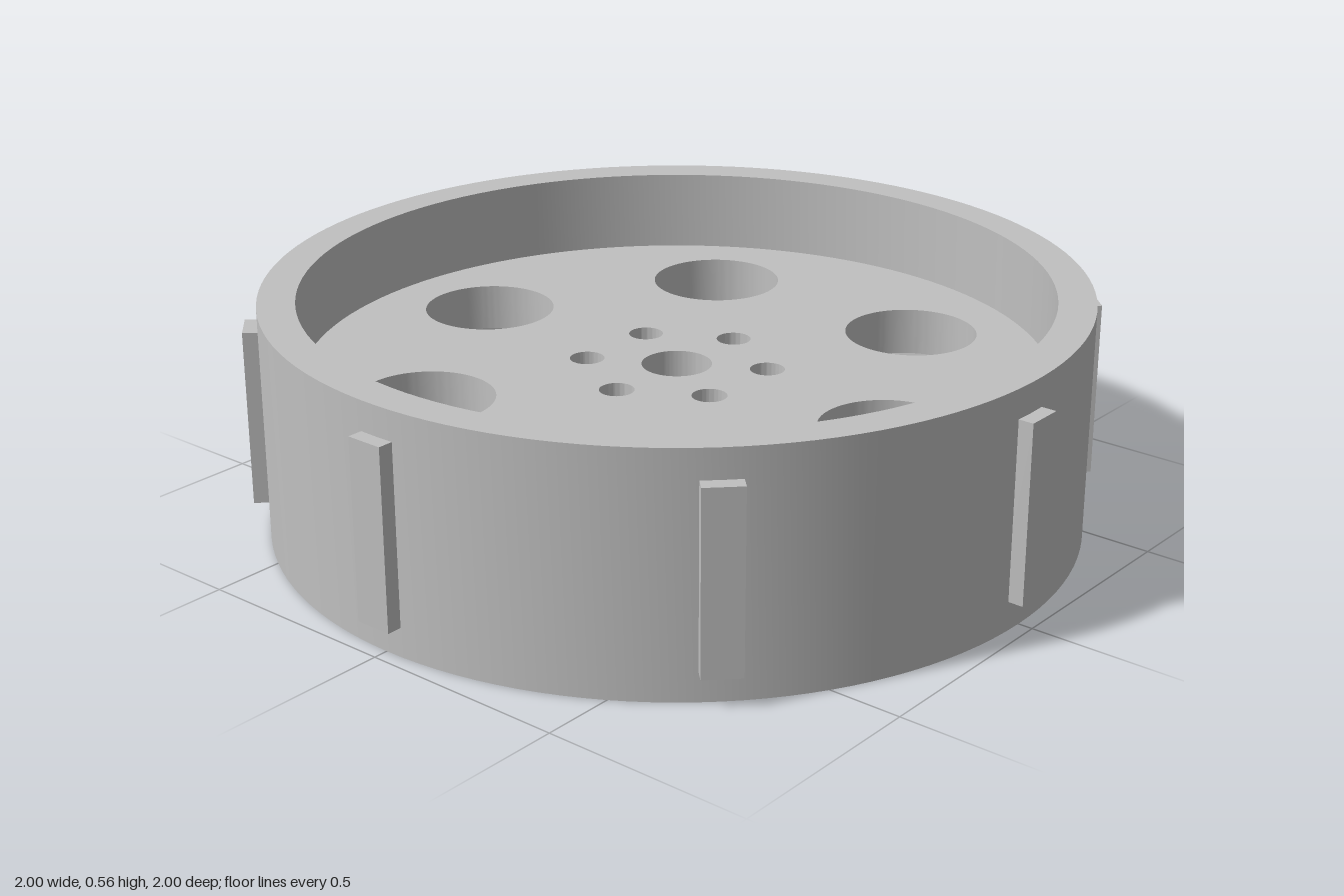
import * as THREE from 'three';
import { toCreasedNormals } from 'three/addons/utils/BufferGeometryUtils.js';

const OUTER = 0.965, INNER = 0.877, HEIGHT = 0.565;

// Upright disc from y0 to y1, pierced by holes given as [x, z, radius]
function piercedDisc(radius, y0, y1, holes) {
  const shape = new THREE.Shape();
  shape.absarc(0, 0, radius, 0, Math.PI * 2, false);
  for (const [x, z, r] of holes) {
    const hole = new THREE.Path();
    hole.absarc(x, -z, r, 0, Math.PI * 2, true);
    shape.holes.push(hole);
  }
  const geo = new THREE.ExtrudeGeometry(shape, { depth: y1 - y0, bevelEnabled: false, curveSegments: 64 });
  geo.rotateX(-Math.PI / 2).translate(0, y0, 0);
  return toCreasedNormals(geo, Math.PI / 6);
}

// Evenly spaced ring of six holes
function holeRing(distance, radius, startAngle) {
  return Array.from({ length: 6 }, (_, i) => {
    const a = startAngle + i * Math.PI / 3;
    return [Math.cos(a) * distance, Math.sin(a) * distance, radius];
  });
}

export function createModel() {
  const group = new THREE.Group();
  group.name = 'wheel';
  const grey = new THREE.MeshStandardMaterial({ color: 0xc0c0c0 });
  grey.name = 'light grey';

  const add = (name, geo) => {
    const mesh = new THREE.Mesh(geo, grey);
    mesh.name = name;
    group.add(mesh);
    return mesh;
  };

  // Outer band, open above and below the web
  add('rim', piercedDisc(OUTER, 0, HEIGHT, [[0, 0, INNER]]));

  // Web with axle hole, bolt holes and lightening holes
  add('web', piercedDisc(INNER + 0.005, 0.253, 0.368, [
    [0, 0, 0.083],
    ...holeRing(0.215, 0.041, Math.PI / 6),
    ...holeRing(0.607, 0.159, 0),
  ]));

  // Eight tread bars, sunk slightly into the rim
  const barGeo = new THREE.BoxGeometry(0.06, 0.425, 0.09);
  for (let i = 0; i < 8; i++) {
    const a = i * Math.PI / 4;
    const bar = add('treadBar' + (i + 1), barGeo);
    bar.position.set(Math.cos(a) * 0.97, HEIGHT / 2, Math.sin(a) * 0.97);
    bar.rotation.y = -a;
  }
  return group;
}
